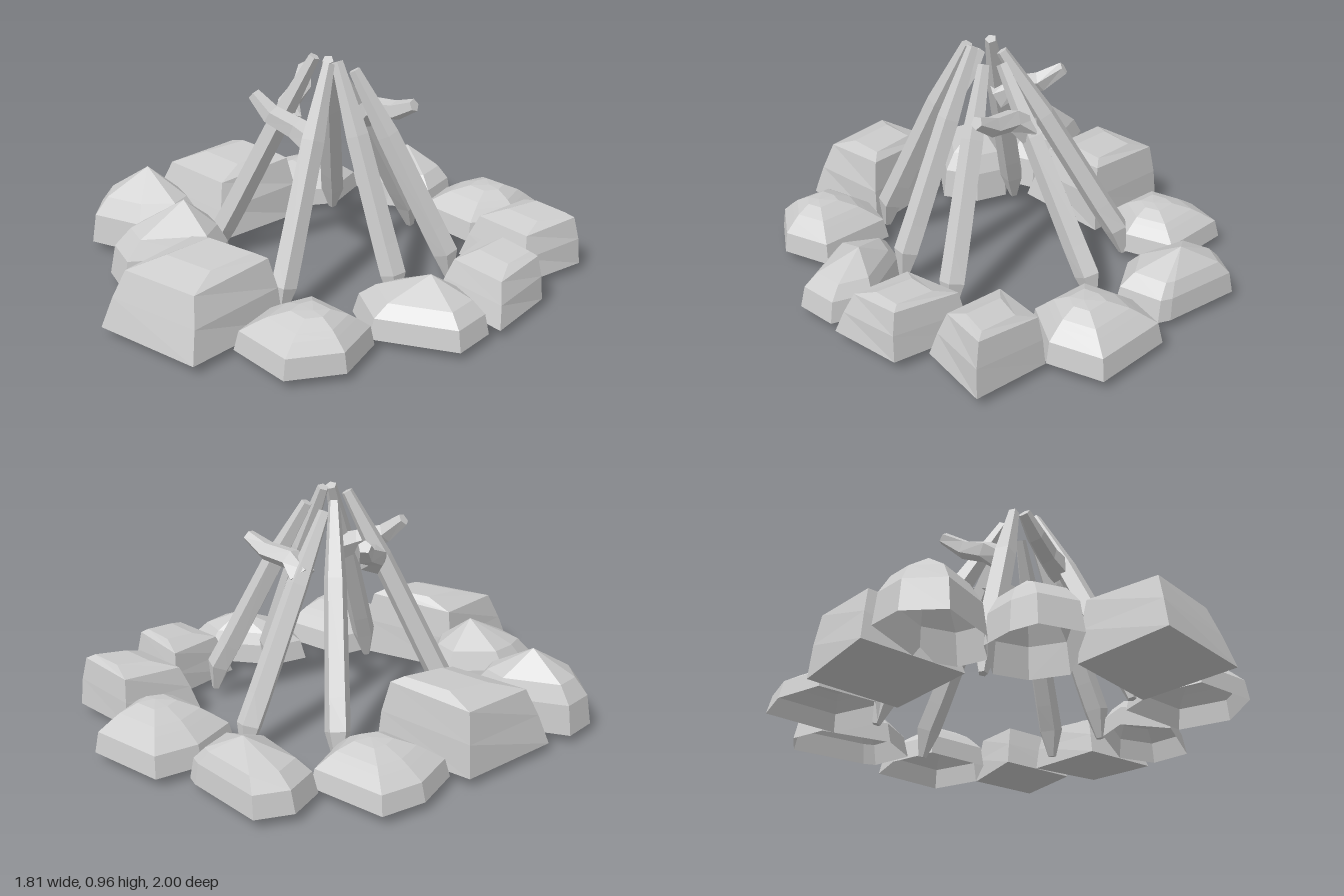
import * as THREE from 'three';

const GROUND = 0.06; // underside of the stones
const V = (x, y, z) => new THREE.Vector3(x, y, z);
const material = new THREE.MeshStandardMaterial({ color: 0xcccccc, flatShading: true, side: THREE.DoubleSide });

// Skin a stack of equal-sized rings (clockwise seen from the far end)
function loft(name, rings, apex, closedStart) {
  const n = rings[0].length, pos = [];
  const tri = (...pts) => pts.forEach(p => pos.push(p.x, p.y, p.z));
  const middle = ring => ring.reduce((s, p) => s.add(p), V(0, 0, 0)).divideScalar(n);
  const first = rings[0], last = rings[rings.length - 1];
  const start = middle(first), end = apex || middle(last);
  for (let i = 0; i < n; i++) {
    const j = (i + 1) % n;
    for (let k = 0; k + 1 < rings.length; k++) {
      const lo = rings[k], hi = rings[k + 1];
      tri(lo[i], hi[i], hi[j]);
      tri(lo[i], hi[j], lo[j]);
    }
    tri(last[j], last[i], end);
    if (closedStart) tri(first[i], first[j], start);
  }
  const geo = new THREE.BufferGeometry();
  geo.setAttribute('position', new THREE.Float32BufferAttribute(pos, 3));
  geo.computeVertexNormals();
  const mesh = new THREE.Mesh(geo, material);
  mesh.name = name;
  return mesh;
}

// Four-cornered boulder: rim and top are placed by fractions across the footprint
function blockStone(base, h) {
  const at = ([u, v, y]) => {
    const mix = k => (base[0][k] * (1 - u) + base[1][k] * u) * (1 - v) + (base[3][k] * (1 - u) + base[2][k] * u) * v;
    return V(mix(0), GROUND + y * h, mix(1));
  };
  const layers = [
    [[0, 0, 0], [1, 0, 0], [1, 1, 0], [0, 1, 0]],
    [[0.03, 0.02, 0.45], [0.98, 0.03, 0.5], [0.94, 0.91, 0.42], [0.06, 0.92, 0.42]],
    [[0.08, 0.06, 0.86], [0.92, 0.07, 0.92], [0.86, 0.82, 0.8], [0.13, 0.83, 0.8]],
    [[0.36, 0.14, 1], [0.83, 0.14, 1], [0.77, 0.55, 0.95], [0.3, 0.55, 0.95]],
  ];
  return loft('blockStone', layers.map(l => l.map(at)), null, true);
}

// Open-bottomed stone: the footprint shrinks ring by ring towards a peak
function domeStone(name, base, steps, h, [px, pz]) {
  const cx = base.reduce((s, p) => s + p[0], 0) / base.length;
  const cz = base.reduce((s, p) => s + p[1], 0) / base.length;
  const rings = steps.map(([s, y]) => {
    const ox = cx + (px - cx) * (1 - s), oz = cz + (pz - cz) * (1 - s);
    return base.map(([x, z]) => V(ox + (x - cx) * s, GROUND + y * h, oz + (z - cz) * s));
  });
  return loft(name, rings, V(px, GROUND + h, pz), false);
}

// Faceted wood following a few points, with a radius at each
function wood(name, points, radii) {
  const sides = 5;
  const rings = points.map((p, k) => {
    const t = points[Math.min(k + 1, points.length - 1)].clone().sub(points[Math.max(k - 1, 0)]).normalize();
    const u = V(0.3, 0.1, 1).cross(t).normalize(), w = u.clone().cross(t);
    return Array.from({ length: sides }, (_, i) => {
      const a = i / sides * Math.PI * 2 + 0.4;
      return p.clone().addScaledVector(u, Math.cos(a) * radii[k]).addScaledVector(w, Math.sin(a) * radii[k]);
    });
  });
  return loft(name, rings, null, true);
}

export function createModel() {
  const model = new THREE.Group();
  model.name = 'campfire';

  // Ring of stones
  const stones = new THREE.Group();
  stones.name = 'stoneRing';
  [
    [[[-0.82, -0.2], [-0.39, -0.23], [-0.41, 0.22], [-0.88, 0.24]], 0.3],
    [[[-0.16, 0.55], [0.28, 0.45], [0.3, 0.9], [-0.16, 0.99]], 0.3],
    [[[0.46, -0.79], [0.78, -0.78], [0.73, -0.46], [0.38, -0.47]], 0.23],
    [[[0.54, -0.46], [0.86, -0.42], [0.9, -0.11], [0.56, -0.12]], 0.21],
  ].forEach(([base, h]) => stones.add(blockStone(base, h)));

  const hexagon = [[-0.19, -0.19], [0.14, -0.21], [0.21, 0], [0.09, 0.2], [-0.19, 0.2], [-0.24, -0.01]];
  const terraces = [[1, 0], [0.93, 0.45], [0.7, 0.68], [0.57, 0.8], [0.28, 0.97]];
  [[0.24, -0.79, 1.03, 0.19], [-0.56, -0.43, 1, 0.165], [0.5, 0.52, 1, 0.185]].forEach(([x, z, s, h]) =>
    stones.add(domeStone('terracedStone', hexagon.map(p => [x + p[0] * s, z + p[1] * s]), terraces, h, [x + 0.03, z])));

  const shoulders = [[1, 0], [0.92, 0.4], [0.7, 0.64]];
  [
    [[[-0.43, -0.94], [-0.09, -0.91], [-0.04, -0.89], [0, -0.7], [-0.17, -0.59], [-0.47, -0.65], [-0.51, -0.81]], 0.22, [-0.25, -0.81]],
    [[[0.72, -0.11], [0.885, -0.06], [0.9, 0.12], [0.6, 0.3], [0.41, 0.2], [0.46, 0.05]], 0.21, [0.67, 0.04]],
    [[[-0.91, 0.35], [-0.61, 0.21], [-0.47, 0.25], [-0.43, 0.37], [-0.56, 0.53], [-0.79, 0.62], [-0.91, 0.5]], 0.315, [-0.7, 0.37]],
    [[[-0.33, 0.28], [-0.19, 0.32], [-0.11, 0.46], [-0.33, 0.77], [-0.5, 0.72], [-0.53, 0.61], [-0.52, 0.46]], 0.315, [-0.32, 0.46]],
  ].forEach(([base, h, peak]) => stones.add(domeStone('peakedStone', base, shoulders, h, peak)));
  model.add(stones);

  // Leaning sticks: pointed foot, slight outward bow, narrow tip
  const sticks = new THREE.Group();
  sticks.name = 'stickCone';
  [
    [V(-0.36, 0.05, -0.42), V(0, 0.94, -0.05)],
    [V(-0.01, 0.025, -0.58), V(0.025, 0.9, -0.08)],
    [V(0.48, 0.06, -0.29), V(0.12, 0.92, -0.08)],
    [V(0.47, 0.06, 0.02), V(0.105, 0.97, 0)],
    [V(0.24, 0.06, 0.43), V(0.1, 0.97, 0.04)],
    [V(-0.36, 0.06, 0.26), V(-0.005, 0.97, 0.02)],
  ].forEach(([foot, tip]) => {
    const at = (t, out) => {
      const p = foot.clone().lerp(tip, t);
      return p.set(p.x + foot.x * out, p.y, p.z + foot.z * out);
    };
    sticks.add(wood('stick', [foot, at(0.13, 0.06), at(0.25, 0.05), at(0.7, 0.03), tip], [0.018, 0.053, 0.052, 0.047, 0.024]));
  });

  // Forked twigs near the top
  [
    [V(0.02, 0.66, -0.22), V(0.09, 0.72, -0.21), V(0.21, 0.735, -0.23), V(0.3, 0.78, -0.24)],
    [V(0.14, 0.68, 0.15), V(0.05, 0.72, 0.17), V(-0.05, 0.76, 0.21), V(-0.13, 0.83, 0.23)],
    [V(-0.09, 0.68, 0.08), V(-0.16, 0.73, 0.02), V(-0.19, 0.77, -0.08), V(-0.25, 0.83, -0.15)],
  ].forEach(path => sticks.add(wood('twig', path, [0.06, 0.047, 0.042, 0.027])));
  model.add(sticks);

  return model;
}
